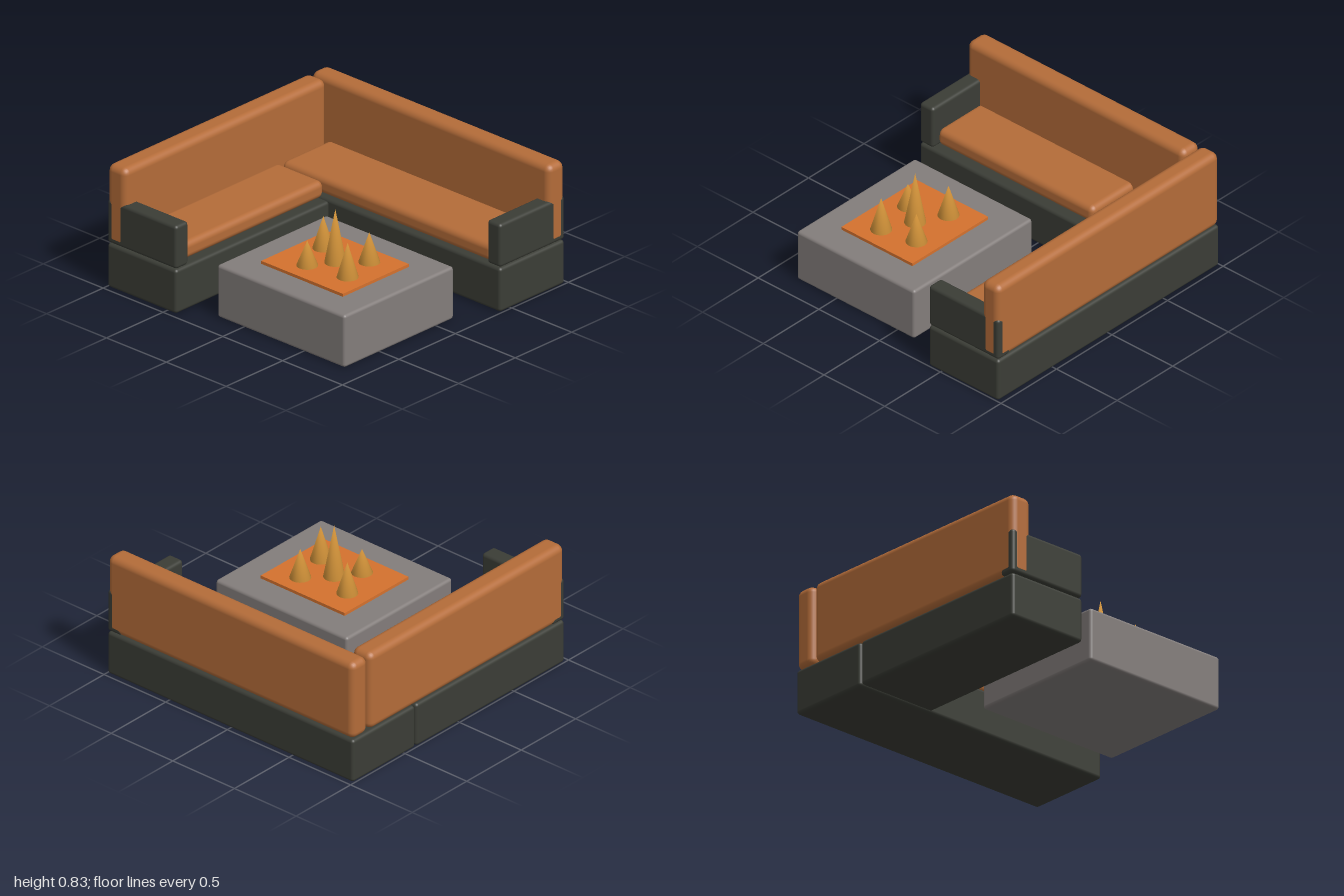
import * as THREE from 'three';
import { RoundedBoxGeometry } from 'three/addons/geometries/RoundedBoxGeometry.js';
import { mergeVertices } from 'three/addons/utils/BufferGeometryUtils.js';

function paint(name, color) {
  const m = new THREE.MeshStandardMaterial({ color });
  m.name = name;
  return m;
}

// Soft-edged block given by its limits on each axis
function block(name, material, [x0, x1], [y0, y1], [z0, z1], radius) {
  const geometry = new RoundedBoxGeometry(x1 - x0, y1 - y0, z1 - z0, 3, radius);
  const mesh = new THREE.Mesh(geometry, material);
  mesh.position.set((x0 + x1) / 2, (y0 + y1) / 2, (z0 + z1) / 2);
  mesh.name = name;
  return mesh;
}

// Cone with one smooth surface, its normals shared by side and base
function flame(material, x, z, top, base) {
  let geometry = new THREE.ConeGeometry(0.068, top - base, 20);
  geometry.deleteAttribute('normal');
  geometry.deleteAttribute('uv');
  geometry = mergeVertices(geometry, 1e-4);
  geometry.computeVertexNormals();
  const mesh = new THREE.Mesh(geometry, material);
  mesh.position.set(x, (top + base) / 2, z);
  mesh.name = 'flame';
  return mesh;
}

export function createModel() {
  const leather = paint('tan leather', 0xb46c39);
  const frame = paint('dark frame', 0x3b3d36);
  const stone = paint('grey stone', 0x837d7b);
  const ember = paint('ember orange', 0xd5722e);
  const fire = paint('flame gold', 0xd4943a);

  const model = new THREE.Group();
  model.name = 'firePitLounge';

  // Long sofa across the back
  const backSofa = new THREE.Group();
  backSofa.name = 'backSofa';
  backSofa.add(
    block('base', frame, [-0.997, 0.997], [0, 0.295], [-0.975, -0.4], 0.022),
    block('seat', leather, [-0.86, 0.9], [0.295, 0.41], [-0.86, -0.425], 0.04),
    block('backrest', leather, [-0.998, 0.998], [0.295, 0.83], [-0.976, -0.832], 0.045),
    block('armrest', frame, [0.885, 0.997], [0.3, 0.59], [-0.975, -0.4], 0.022),
  );

  // Sofa along the right-hand side
  const sideSofa = new THREE.Group();
  sideSofa.name = 'sideSofa';
  sideSofa.add(
    block('base', frame, [-0.997, -0.418], [0, 0.295], [-0.392, 0.97], 0.022),
    block('seat', leather, [-0.87, -0.475], [0.295, 0.41], [-0.405, 0.88], 0.04),
    block('backrest', leather, [-0.998, -0.842], [0.295, 0.83], [-0.817, 0.971], 0.045),
    block('armrest', frame, [-0.997, -0.418], [0.3, 0.59], [0.858, 0.97], 0.022),
  );

  // Fire table with burner plate and flames
  const fireTable = new THREE.Group();
  fireTable.name = 'fireTable';
  fireTable.add(block('tableBlock', stone, [-0.217, 0.85], [0, 0.352], [-0.148, 0.822], 0.02));
  const plate = new THREE.Mesh(new THREE.BoxGeometry(0.682, 0.03, 0.584), ember);
  plate.position.set(0.313, 0.357, 0.338);
  plate.name = 'burnerPlate';
  fireTable.add(plate);
  const flames = [
    [0.12, 0.237, 0.587], [0.217, 0.482, 0.537], [0.313, 0.335, 0.73],
    [0.46, 0.19, 0.572], [0.51, 0.435, 0.602],
  ];
  for (const [x, z, top] of flames) fireTable.add(flame(fire, x, z, top, 0.37));

  model.add(backSofa, sideSofa, fireTable);
  return model;
}
